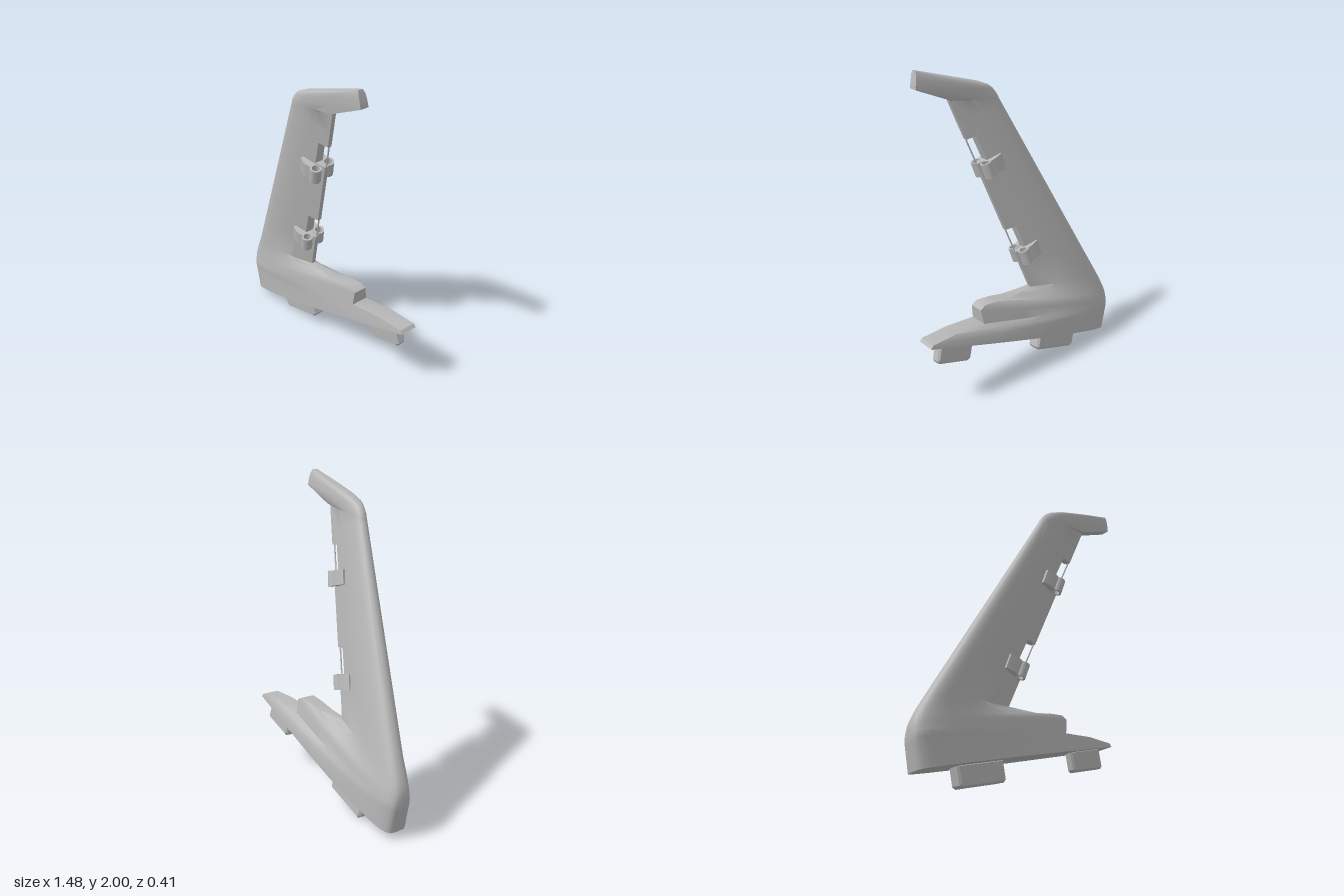
import * as THREE from 'three';
import { toCreasedNormals } from 'three/addons/utils/BufferGeometryUtils.js';

const grey = new THREE.MeshStandardMaterial({ color: 0xb8b8b8 });
grey.name = 'grey';

// A section: leading point, trailing point, largest and trailing half thickness,
// nose power (smaller is blunter) and the fraction of the chord that is kept.
const row = (lx, ly, lz, tx, ty, tz, h, ht, nose = 0.47, keep = 1) =>
  ({ L: new THREE.Vector3(lx, ly, lz), T: new THREE.Vector3(tx, ty, tz), h, ht, nose, keep });

const trailX = (y) => -0.1 + (y - 0.53) * 0.3465;
const trailZ = (y) => -0.055 + (y - 0.53) * 0.17;

function finRow(y, keep = 1) {
  const ly = y + 0.06;
  return row(-0.67 + (ly - 0.46) * 0.504, ly, -0.07 + (ly - 0.46) * 0.173,
    trailX(y), y, trailZ(y), 0.071 - (y - 0.6) * 0.025, 0.013, 0.45, keep);
}

const notch = (y0, y1, keep) => [finRow(y0), finRow(y0, keep), finRow(y1, keep), finRow(y1)];

const root = [
  row(-0.70, 0.04, -0.097, 0.74, 0.45, -0.10, 0.108, 0.059, 0.22),
  row(-0.733, 0.19, -0.095, 0.725, 0.47, -0.10, 0.109, 0.057, 0.24),
  row(-0.737, 0.21, -0.094, 0.55, 0.474, -0.09, 0.108, 0.056, 0.25),
  row(-0.738, 0.23, -0.093, 0.33, 0.45, -0.075, 0.106, 0.056, 0.26),
  row(-0.739, 0.25, -0.092, 0.34, 0.54, -0.068, 0.102, 0.045, 0.28),
  row(-0.739, 0.27, -0.091, 0.30, 0.56, -0.065, 0.099, 0.044, 0.30),
  row(-0.736, 0.30, -0.088, 0.20, 0.55, -0.062, 0.094, 0.042, 0.33),
  row(-0.728, 0.33, -0.085, 0.10, 0.53, -0.058, 0.088, 0.038, 0.36),
  row(-0.705, 0.39, -0.078, 0.00, 0.53, -0.056, 0.08, 0.026, 0.4),
  row(-0.67, 0.46, -0.07, -0.10, 0.53, -0.055, 0.074, 0.014, 0.43),
];
const fin = [finRow(0.70), ...notch(0.79, 0.95, 0.84), ...notch(1.40, 1.555, 0.815), finRow(1.66)];
const tip = [
  row(-0.02, 1.75, 0.153, 0.338, 1.795, 0.160, 0.043, 0.013),
  row(-0.015, 1.765, 0.155, 0.34, 1.80, 0.160, 0.044, 0.030),
  row(0.0, 1.79, 0.160, 0.57, 1.90, 0.158, 0.046, 0.027),
  row(0.02, 1.817, 0.162, 0.569, 1.91, 0.159, 0.046, 0.027),
  row(0.05, 1.84, 0.164, 0.568, 1.92, 0.160, 0.045, 0.027),
  row(0.12, 1.87, 0.167, 0.563, 1.945, 0.162, 0.042, 0.026),
  row(0.30, 1.925, 0.170, 0.557, 1.975, 0.166, 0.034, 0.024),
  row(0.53, 1.995, 0.172, 0.55, 2.0, 0.172, 0.016, 0.016),
];

// Rounded nose, fullest at 38% of the chord, easing to the blunt trailing edge
function halfThickness(u, r) {
  const a = 0.38;
  if (u < a) return r.h * Math.pow(1 - Math.pow(1 - u / a, 3.5), r.nose);
  const t = (u - a) / (1 - a);
  return r.h + (r.ht - r.h) * Math.pow(t, 1.35);
}

const STOPS = [0, 0.002, 0.008, 0.02, 0.045, 0.08, 0.13, 0.19, 0.27, 0.38, 0.5, 0.6, 0.7, 1];

function loft(rows) {
  const pos = [], index = [], p = new THREE.Vector3();
  const last = STOPS.length - 1, n = 2 * last + 1;
  rows.forEach((r) => {
    for (let i = 0; i < n; i++) {
      const side = i < last ? 1 : -1;
      const s = STOPS[Math.abs(last - i)];
      const u = s === 1 ? r.keep : s;
      p.lerpVectors(r.L, r.T, u);
      pos.push(p.x, p.y, p.z + side * halfThickness(u, r));
    }
  });
  for (let j = 0; j < rows.length - 1; j++) {
    for (let i = 0; i < n; i++) {
      const a = j * n + i, b = j * n + (i + 1) % n;
      index.push(a, b + n, b, a, a + n, b + n);
    }
  }
  // End caps
  const top = (rows.length - 1) * n;
  for (let i = 0; i < last; i++) {
    const a = i, b = i + 1, c = n - 2 - i, d = n - 1 - i;
    index.push(a, b, c, a, c, d);
    index.push(top + a, top + c, top + b, top + a, top + d, top + c);
  }
  const g = new THREE.BufferGeometry();
  g.setAttribute('position', new THREE.Float32BufferAttribute(pos, 3));
  g.setIndex(index);
  return toCreasedNormals(g, 0.6);
}

function mesh(geometry, name) {
  const m = new THREE.Mesh(geometry, grey);
  m.name = name;
  return m;
}

// Hinge lug: a pierced barrel with a tapering tail, extruded along the trailing edge
function hingeLug(side) {
  const r = 0.035, height = 0.095, s = new THREE.Shape();
  s.moveTo(-0.118, 0.012);
  s.lineTo(-0.118, -0.014);
  s.lineTo(-0.07, -0.028);
  s.lineTo(-0.029, -0.0195);
  s.absarc(0, 0, r, Math.PI + 0.59, 3 * Math.PI - 0.59, false);
  s.lineTo(-0.07, 0.022);
  s.closePath();
  const hole = new THREE.Path();
  hole.absarc(0, 0, 0.023, 0, Math.PI * 2, true);
  s.holes.push(hole);
  const g = new THREE.ExtrudeGeometry(s, { depth: height, bevelEnabled: false, curveSegments: 16 });
  g.translate(0, 0, -height / 2);
  g.rotateX(-Math.PI / 2);
  const m = mesh(toCreasedNormals(g, 0.6), side > 0 ? 'frontHingeLug' : 'backHingeLug');
  m.position.z = side * 0.047;
  return m;
}

function hinge(y) {
  const g = new THREE.Group();
  g.name = 'hinge';
  g.add(hingeLug(1), hingeLug(-1));
  g.position.set(trailX(y) - 0.038, y, trailZ(y) + 0.002);
  g.rotation.set(0.16, 0, -0.27);
  return g;
}

// Thin bar that closes a notch along the trailing edge
function notchBar(y0, y1) {
  const [a, b] = [y0 - 0.01, y1 + 0.01].map(
    (y) => new THREE.Vector3(trailX(y) - 0.005, y, trailZ(y)));
  return mesh(new THREE.TubeGeometry(new THREE.LineCurve3(a, b), 1, 0.005, 8), 'notchBar');
}

// Mounting tab below the root, with chamfered edges
function tab(x, length, depth, width, name) {
  const c = 0.01, b = 0.012, w = length / 2 - b, s = new THREE.Shape();
  s.moveTo(-w, 0);
  s.lineTo(-w, -depth + c + b);
  s.lineTo(-w + c, -depth + b);
  s.lineTo(w - c, -depth + b);
  s.lineTo(w, -depth + c + b);
  s.lineTo(w, 0);
  s.closePath();
  const g = new THREE.ExtrudeGeometry(s, {
    depth: width - 2 * b, bevelThickness: b, bevelSize: b, bevelSegments: 1,
  });
  g.translate(0, 0, -width / 2 + b);
  const m = mesh(g, name);
  m.position.set(x, 0.04 + (x + 0.7) * 0.2847, -0.1);
  m.rotation.set(0.09, 0, 0.277);
  return m;
}

export function createModel() {
  const model = new THREE.Group();
  model.name = 'sweptFin';
  model.add(mesh(loft([...root, ...fin, ...tip]), 'finBody'));
  model.add(hinge(1.355), hinge(0.755));
  model.add(notchBar(0.79, 0.95), notchBar(1.40, 1.555));
  model.add(tab(-0.28, 0.325, 0.122, 0.095, 'frontTab'));
  model.add(tab(0.535, 0.25, 0.122, 0.068, 'rearTab'));
  return model;
}
